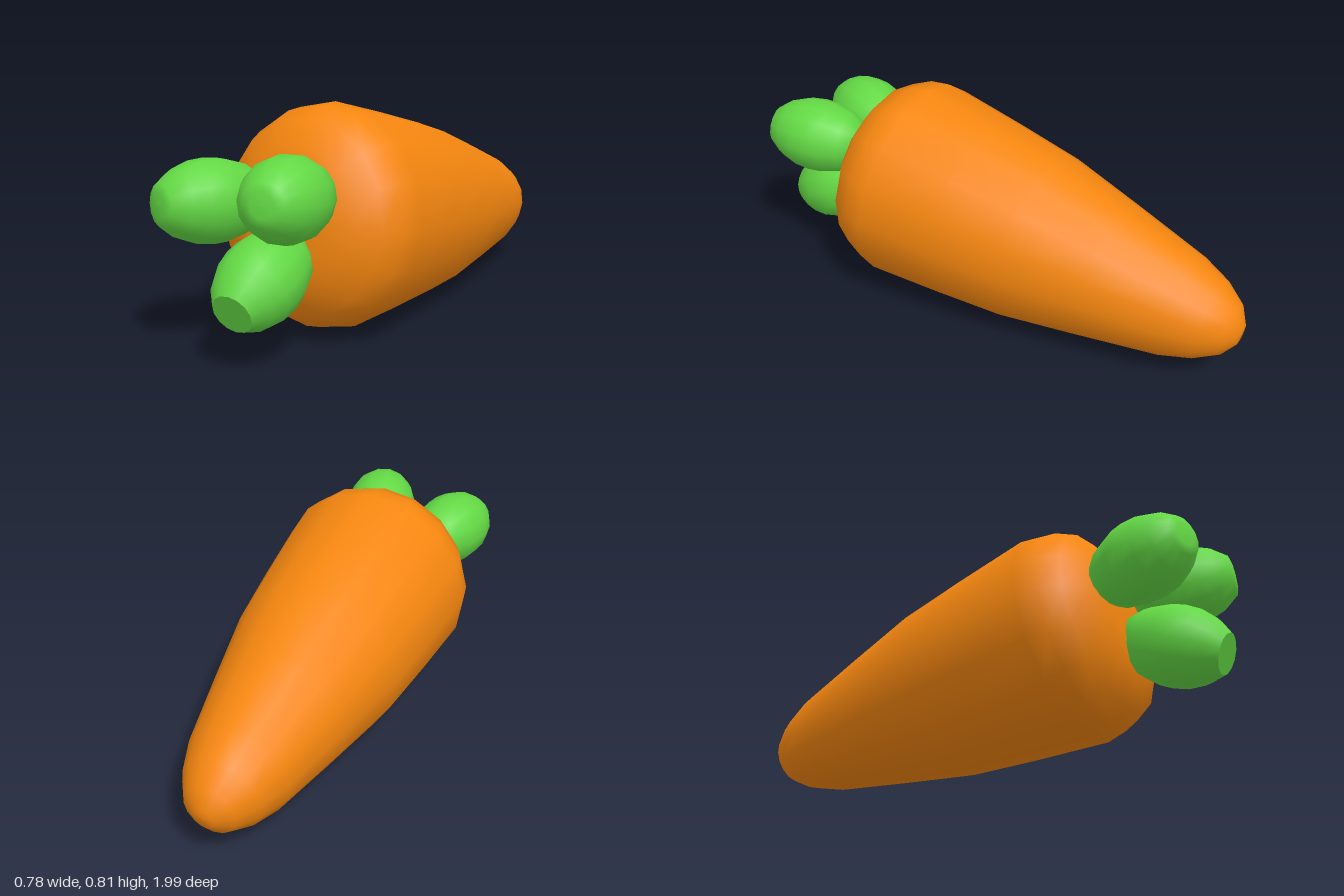
import * as THREE from 'three';

// Smooth surface of revolution around y; profile is [radius, height] from bottom to top
function lathe(name, profile, sides, color) {
  const points = profile.map(([r, h]) => new THREE.Vector2(r, h));
  const mesh = new THREE.Mesh(
    new THREE.LatheGeometry(points, sides),
    new THREE.MeshStandardMaterial({ color })
  );
  mesh.name = name;
  return mesh;
}

export function createModel() {
  const model = new THREE.Group();
  model.name = 'carrot';

  // Root: tapered body lying along z, narrow tip at the back, resting on its lower side
  const root = lathe('root', [
    [0, -1.006], [0.04, -1.003], [0.1, -0.965], [0.155, -0.885], [0.2, -0.77],
    [0.27, -0.47], [0.338, -0.165], [0.372, 0.11], [0.403, 0.4], [0.387, 0.478],
    [0.345, 0.555], [0.255, 0.613], [0.17, 0.643], [0, 0.657],
  ], 16, 0xf5860f);
  root.geometry.rotateX(Math.PI / 2);
  root.geometry.scale(0.97, 1, 1);
  root.rotation.set(-0.14, 0.015, 0);
  root.position.set(-0.008, 0.367, 0);
  model.add(root);

  // Leaf stubs: plump barrels fanning out from the crown
  const side = [[0, 0], [0.075, 0], [0.12, 0.07], [0.142, 0.15], [0.145, 0.2],
    [0.138, 0.26], [0.115, 0.32], [0.073, 0.375]];
  const stubs = [
    ['rightLeaf', [-0.135, 0.515, 0.605], [-0.28, 0.06, 0.95], false],
    ['leftLeaf', [0.085, 0.55, 0.6], [0.26, 0.1, 0.95], false],
    ['lowerLeaf', [0.012, 0.365, 0.615], [0.09, -0.38, 0.92], true],
  ];
  const up = new THREE.Vector3(0, 1, 0);
  for (const [name, base, direction, sharpCap] of stubs) {
    // A repeated rim point gives the lower stub a crisp flat end
    const end = sharpCap ? [[0.073, 0.3751], [0.0729, 0.3752], [0, 0.3752]] : [[0.04, 0.383], [0, 0.385]];
    const leaf = lathe(name, [...side, ...end], 14, 0x63d844);
    leaf.position.set(...base);
    leaf.quaternion.setFromUnitVectors(up, new THREE.Vector3(...direction).normalize());
    model.add(leaf);
  }
  return model;
}
